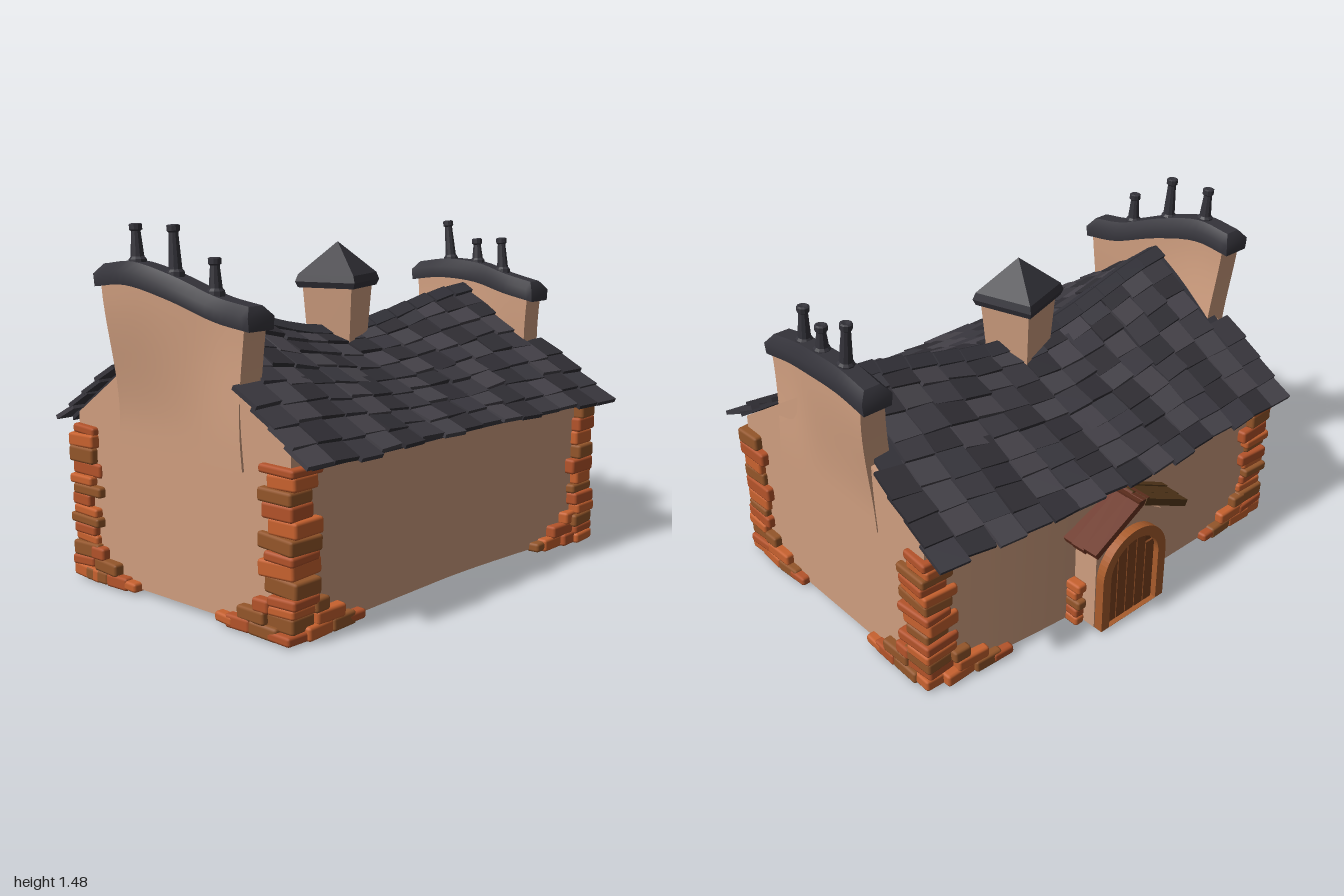
import * as THREE from 'three';
import { mergeGeometries } from 'three/addons/utils/BufferGeometryUtils.js';
import { RoundedBoxGeometry } from 'three/addons/geometries/RoundedBoxGeometry.js';

const PLASTER = 0xcf9e7f, SLATES = [0x3a383f, 0x302e34, 0x454249], SLATE = 0x34333a;
const BRICKS = [0xc8622f, 0xb4532a, 0x94562a];

let seed = 7;
const rnd = (a = 0, b = 1) => {
  seed = (seed * 16807) % 2147483647;
  return a + (b - a) * seed / 2147483647;
};
const { lerp, smoothstep } = THREE.MathUtils;
const V = (x, y, z) => new THREE.Vector3(x, y, z);
const mat = (color, flat = false) => new THREE.MeshStandardMaterial({ color, flatShading: flat });

function add(parent, name, geo, color, flat = false) {
  const mesh = new THREE.Mesh(geo, mat(color, flat));
  mesh.name = name;
  parent.add(mesh);
  return mesh;
}

// Segmented unit box whose vertices are moved by fn(a, b, c), each in -0.5..0.5
function bentBox(sx, sy, sz, fn) {
  const geo = new THREE.BoxGeometry(1, 1, 1, sx, sy, sz), p = geo.attributes.position;
  for (let i = 0; i < p.count; i++) p.setXYZ(i, ...fn(p.getX(i), p.getY(i), p.getZ(i)));
  geo.computeVertexNormals();
  return geo;
}

// Crooked plan: the centre line drifts towards +x at the back; the ridge sags in the middle
const centre = z => -0.02 + 0.085 * Math.pow(Math.max(0, -z) / 0.9, 1.5);
const ridge = z => 1.0 + (z > 0 ? 0.15 : 0.125) * (1 - Math.cos(Math.PI * z / 0.9)) / 2;
const roofY = (u, z) => 0.66 + (1 - Math.abs(u) / 0.7) * (ridge(z) - 0.66);
const roofPoint = (u, z) => V(centre(z) + u, roofY(u, z), z);

// Several shades of one kind of piece, merged per shade
function shadedPieces(parent, name, pieces, colors, flat) {
  colors.forEach((color, k) => {
    const set = pieces.filter((_, i) => i % 97 * 31 % colors.length === k);
    if (set.length) add(parent, name, mergeGeometries(set), color, flat);
  });
}

function roof(g) {
  const deck = bentBox(8, 1, 24, (a, b, c) => {
    const z = lerp(-0.93, 0.88, c + 0.5), u = a * 1.36;
    return [centre(z) + u, roofY(u, z) - 0.015 + b * 0.02, z];
  });
  add(g, 'roofDeck', deck, SLATE);
  const tiles = [], cols = 15, rows = 8, w = 1.9 / cols, r = 0.7 / rows, e = 0.01;
  for (const s of [-1, 1]) for (let j = 0; j < rows; j++) for (let i = 0; i < cols; i++) {
    if ((i === 0 || i === cols - 1) && j < 4) continue; // room for the gable stacks
    const z = -0.97 + (i + 0.5) * w, u = (j + 0.5) * r;
    const down = roofPoint(s * (u + e), z).sub(roofPoint(s * (u - e), z)).normalize();
    const along = roofPoint(s * u, z + e).sub(roofPoint(s * u, z - e)).normalize().multiplyScalar(s);
    const up = along.clone().cross(down).normalize();
    const m = new THREE.Matrix4().makeBasis(down, up, along);
    m.setPosition(roofPoint(s * (u + rnd(-0.008, 0.012)), z).addScaledVector(up, rnd(0.004, 0.012)));
    tiles.push(new THREE.BoxGeometry(r * 1.5, 0.018, w * rnd(0.94, 1.04))
      .rotateZ(rnd(0.06, 0.14)).rotateY(rnd(-0.06, 0.06)).rotateX(rnd(-0.05, 0.05)).applyMatrix4(m));
  }
  shadedPieces(g, 'roofTiles', tiles, SLATES, true);

  const caps = [];
  for (let i = 0; i < 13; i++) for (const s of [-1, 1]) {
    const z = -0.78 + i * 0.128;
    caps.push(new THREE.BoxGeometry(0.06, 0.016, 0.13).rotateZ(-s * 0.55)
      .rotateX(-Math.atan((ridge(z + 0.01) - ridge(z - 0.01)) / 0.02))
      .translate(centre(z) + s * 0.024, ridge(z) + 0.008, z));
  }
  add(g, 'ridgeCaps', mergeGeometries(caps), SLATE, true);
}

// Gable stack: plaster wall rising to a curved path, coping along it, pots on top
function gableStack(g, name, pts, baseZ, pots) {
  const stack = new THREE.Group();
  stack.name = name;
  g.add(stack);
  const path = new THREE.CatmullRomCurve3(pts.map(p => V(...p)));
  add(stack, 'stackWall', bentBox(20, 12, 1, (a, b, c) => {
    const t = b + 0.5, p = path.getPoint(a + 0.5);
    const neck = 1 - 0.05 * Math.sin(Math.PI * t);
    const mid = (pts[0][0] + pts[4][0]) / 2;
    const zc = lerp(baseZ, p.z, smoothstep(t, 0.1, 1));
    return [mid + (p.x - mid) * neck * 0.96, lerp(0.6, p.y + 0.01, t), zc + c * 0.11];
  }), PLASTER);
  add(stack, 'coping', bentBox(20, 2, 1, (a, b, c) => {
    const p = path.getPoint(a + 0.5), top = b > 0.4;
    return [p.x + a * (top ? -0.02 : 0.035), p.y + [0, 0.05, 0.088][Math.round(b * 2 + 1)],
      p.z + c * (top ? 0.07 : b < -0.4 ? 0.125 : 0.135)];
  }), SLATE);
  for (const [x, top, lean] of pots) {
    let p = path.getPoint(0);
    for (let t = 0; t <= 1 && p.x < x; t += 0.01) p = path.getPoint(t);
    const y = p.y + 0.075, h = top - y;
    const profile = [[0.036, 0], [0.034, 0.02], [0.026, 0.03], [0.018, h - 0.03], [0.025, h - 0.024],
      [0.025, h - 0.004], [0.018, h], [0, h - 0.005]].map(q => new THREE.Vector2(...q));
    const pot = add(stack, 'chimneyPot', new THREE.LatheGeometry(profile, 10), SLATE, true);
    pot.position.set(p.x, y, p.z);
    pot.rotation.z = lean;
  }
}

// Rough corner stones, with a low heap spreading along both walls
function cornerStones(g) {
  const stones = [];
  const stone = (x, y, z, w, h, d) => stones.push(new RoundedBoxGeometry(w, h, d, 1, 0.012)
    .rotateY(rnd(-0.07, 0.07)).rotateZ(rnd(-0.05, 0.05)).translate(x, y, z));
  for (const sx of [-1, 1]) for (const sz of [-1, 1]) {
    const z0 = sz > 0 ? 0.905 : -0.945, x0 = centre(z0) + sx * 0.6;
    for (let y = 0.005; y < 0.62;) {
      const h = Math.min(rnd(0.032, 0.066), 0.65 - y), px = rnd(0.015, 0.04), pz = rnd(0.015, 0.04);
      const lx = rnd(0.12, 0.19), lz = rnd(0.12, 0.17);
      stone(x0 + sx * (px - lx / 2), y + h / 2, z0 + sz * (pz - lz / 2), lx, h + 0.004, lz);
      y += h;
    }
    [[0.12, 0, 0.14], [0.25, 0, 0.13], [0.32, 0, 0.1], [0.18, 1, 0.15], [0.13, 2, 0.08]].forEach(([o, k, l]) => {
      const y = 0.03 + k * 0.048, h = o > 0.3 ? 0.04 : 0.055;
      stone(x0 - sx * o, y, z0 + sz * 0.005, l, h, 0.065);
      const zi = z0 - sz * o;
      stone(centre(zi) + sx * 0.605, y, zi, 0.065, h, l);
    });
  }
  // small piles beside the porch
  for (const z of [-0.26, 0.16]) for (let k = 0; k < 5; k++)
    stone(-0.63 + rnd(-0.01, 0.01), 0.03 + k * 0.042, z, rnd(0.07, 0.12), 0.045, 0.05);
  shadedPieces(g, 'cornerStones', stones, BRICKS, false);
}

function archShape(r, spring, y0) {
  const s = new THREE.Shape();
  s.moveTo(-r, y0).lineTo(r, y0).lineTo(r, spring).absarc(0, spring, r, 0, Math.PI, false).lineTo(-r, y0);
  return s;
}

// Porch on the -x wall, drawn facing +z and turned outwards
function porch(g) {
  const p = new THREE.Group();
  p.name = 'porch';
  p.position.z = -0.05;
  p.rotation.y = -Math.PI / 2;
  g.add(p);
  const extrude = (name, shape, z, depth, color) => {
    const geo = new THREE.ExtrudeGeometry(shape, { depth, bevelEnabled: false, curveSegments: 14 });
    add(p, name, geo.translate(0, 0, z), color);
  };
  const wall = new THREE.Shape([[-0.19, 0.02], [0.19, 0.02], [0.19, 0.44], [0.02, 0.55], [-0.19, 0.44]]
    .map(q => new THREE.Vector2(...q)));
  extrude('porchWall', wall, 0.56, 0.165, PLASTER);
  const frame = archShape(0.185, 0.26, 0.015);
  frame.holes.push(archShape(0.14, 0.26, 0.016));
  extrude('doorFrame', frame, 0.72, 0.045, 0xa85c2c);
  extrude('door', archShape(0.142, 0.26, 0.018), 0.72, 0.015, 0x6f3a1c);
  for (let i = -2; i <= 2; i++) {
    const h = 0.24 + Math.sqrt(0.135 ** 2 - (Math.abs(i) * 0.054 + 0.012) ** 2 * 0.95);
    add(p, 'doorPlank', new THREE.BoxGeometry(0.049, h, 0.012).translate(i * 0.054, 0.018 + h / 2, 0.738), 0x7d421f);
  }
  for (const s of [-1, 1]) for (let i = 0; i < 3; i++) {
    const board = new THREE.BoxGeometry(rnd(0.29, 0.32), 0.03, 0.066).rotateZ(-s * 0.47)
      .rotateY(rnd(-0.04, 0.04)).translate(0.02 + s * 0.135, 0.508 + rnd(-0.006, 0.012), 0.62 + i * 0.062);
    add(p, 'porchRoofBoard', board, s < 0 ? 0x6a3322 : 0x56391b, true);
  }
  add(p, 'porchRidge', new THREE.BoxGeometry(0.06, 0.025, 0.19).translate(0.02, 0.578, 0.68), 0x5a2c1c, true);
}

function cupola(g) {
  const c = new THREE.Group();
  c.name = 'cupola';
  c.position.set(-0.02, 0, -0.02);
  c.rotation.y = 0.31;
  g.add(c);
  add(c, 'cupolaWalls', bentBox(1, 1, 1, (a, b, d) => {
    const w = b > 0 ? 0.225 : 0.185;
    return [a * w, b > 0 ? 1.2 : 0.9, d * w];
  }), PLASTER);
  const profile = [[0, 1.19], [0.18, 1.19], [0.193, 1.215], [0.18, 1.245], [0, 1.38]];
  const cap = new THREE.LatheGeometry(profile.map(q => new THREE.Vector2(...q)), 4);
  add(c, 'cupolaRoof', cap.rotateY(Math.PI / 4), SLATE, true);
}

export function createModel() {
  const g = new THREE.Group();
  g.name = 'cottage';
  // House body with gabled top
  add(g, 'walls', bentBox(2, 1, 24, (a, b, c) => {
    const z = lerp(-0.945, 0.905, c + 0.5), u = a * 1.2;
    return [centre(z) + u, b > 0 ? roofY(u, z) - 0.03 : 0.02, z];
  }), PLASTER);
  roof(g);
  gableStack(g, 'frontStack', [[-0.365, 1.235, 0.925], [-0.2, 1.25, 0.92], [0, 1.205, 0.89],
    [0.2, 1.135, 0.85], [0.36, 1.11, 0.84]], 0.86,
  [[-0.2, 1.48, 0.06], [-0.02, 1.48, 0.05], [0.16, 1.365, 0.03]]);
  gableStack(g, 'backStack', [[-0.26, 1.15, -0.93], [-0.1, 1.17, -0.925], [0.1, 1.16, -0.915],
    [0.28, 1.12, -0.885], [0.43, 1.09, -0.88]], -0.895,
  [[-0.09, 1.44, 0.12], [0.07, 1.36, 0.06], [0.235, 1.37, 0.08]]);
  cupola(g);
  cornerStones(g);
  porch(g);
  return g;
}
